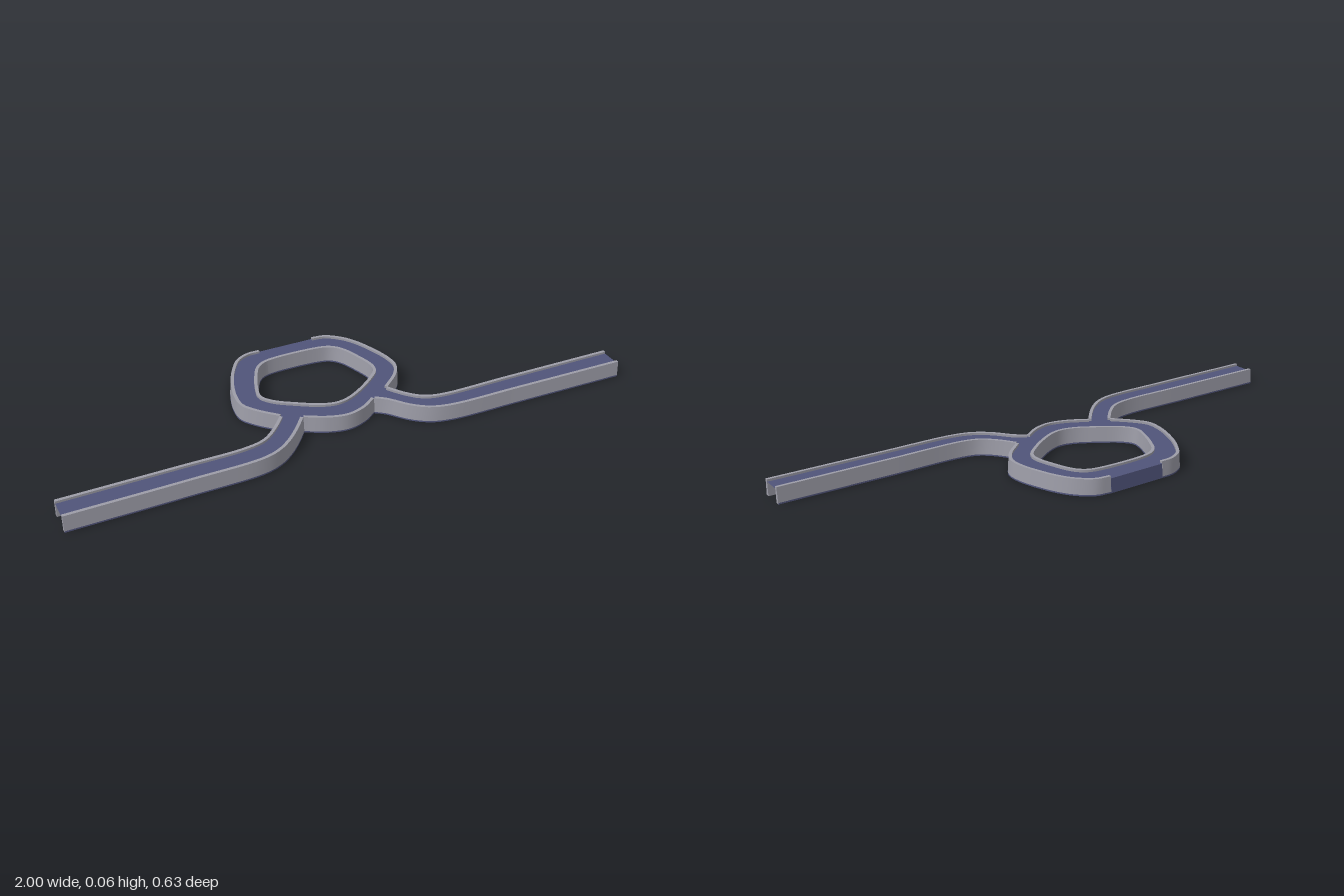
import * as THREE from 'three';

const HEIGHT = 0.058, DECK_Y = 0.05, THICK = 0.011, FLARE = 0.004, STRIP = 0.005;

// Plan curves as [x, z], running so that the deck is always on the same hand.
const PLAN = {
  ringRight: [[0.1, -0.312], [0.15, -0.304], [0.2, -0.267], [0.235, -0.218], [0.268, -0.14], [0.288, -0.067], [0.288, -0.012], [0.26, 0.04], [0.192, 0.103]],
  armLeftBack: [[0.192, 0.103], [0.23, 0.158], [0.275, 0.2], [0.33, 0.217], [0.6, 0.221], [1, 0.226]],
  armLeftFront: [[1, 0.312], [0.6, 0.304], [0.33, 0.297], [0.26, 0.278], [0.205, 0.238], [0.15, 0.172], [0.117, 0.147]],
  ringFront: [[0.117, 0.147], [0.06, 0.184], [-0.005, 0.2], [-0.075, 0.184], [-0.145, 0.147]],
  armRightFront: [[-0.145, 0.147], [-0.178, 0.188], [-0.23, 0.243], [-0.29, 0.286], [-0.355, 0.306], [-0.6, 0.311], [-1, 0.312]],
  armRightBack: [[-1, 0.222], [-0.6, 0.222], [-0.385, 0.221], [-0.315, 0.205], [-0.262, 0.163], [-0.213, 0.107]],
  ringRightSide: [[-0.213, 0.107], [-0.272, 0.045], [-0.303, -0.005], [-0.303, -0.067], [-0.278, -0.158], [-0.245, -0.228], [-0.203, -0.286], [-0.155, -0.31], [-0.11, -0.312]],
  ringBack: [[-0.11, -0.312], [0, -0.312], [0.1, -0.312]],
};
const HOLE = [[-0.11, -0.228], [-0.15, -0.205], [-0.178, -0.158], [-0.208, -0.083], [-0.218, -0.03], [-0.192, 0.01], [-0.128, 0.056], [-0.055, 0.098], [-0.005, 0.11], [0.035, 0.103], [0.087, 0.077], [0.16, 0.024], [0.197, -0.014], [0.203, -0.05], [0.187, -0.115], [0.16, -0.185], [0.133, -0.215], [0.096, -0.228]];

const curveOf = (pts, closed = false) =>
  new THREE.CatmullRomCurve3(pts.map(([x, z]) => new THREE.Vector3(x, 0, z)), closed, 'centripetal');

// Upright wall swept along a curve; each face of its section is its own smooth strip.
function wallGeometry(curve, height, steps, capped) {
  const pos = [], idx = [], rows = [];
  const geo = new THREE.BufferGeometry();
  for (let i = 0; i <= steps; i++) {
    const p = curve.getPointAt(i / steps), t = curve.getTangentAt(i / steps);
    const at = (out, y) => [p.x + t.z * out, y, p.z - t.x * out];
    rows.push([at(FLARE, 0), at(FLARE * 0.9, STRIP), at(0, height), at(-THICK, height), at(-THICK, 0)]);
  }
  for (let k = 0; k < 5; k++) {
    const base = pos.length / 3, start = idx.length;
    for (const r of rows) pos.push(...r[k], ...r[(k + 1) % 5]);
    for (let i = 0; i < steps; i++) {
      const a = base + i * 2;
      idx.push(a, a + 1, a + 2, a + 1, a + 3, a + 2);
    }
    geo.addGroup(start, idx.length - start, k === 0 || k === 4 ? 1 : 0);
  }
  // End caps
  if (capped) {
    const start = idx.length;
    [rows[steps], [...rows[0]].reverse()].forEach((r) => {
      const b = pos.length / 3;
      r.forEach((v) => pos.push(...v));
      for (let k = 1; k < 4; k++) idx.push(b, b + k, b + k + 1);
    });
    geo.addGroup(start, idx.length - start, 0);
  }
  geo.setAttribute('position', new THREE.Float32BufferAttribute(pos, 3));
  geo.setIndex(idx);
  geo.computeVertexNormals();
  return geo;
}

export function createModel() {
  const model = new THREE.Group();
  model.name = 'roundaboutRoad';
  const deckBlue = new THREE.MeshStandardMaterial({ color: 0x50547a, side: THREE.DoubleSide });
  deckBlue.name = 'deckBlue';
  const wallGrey = new THREE.MeshStandardMaterial({ color: 0x9d9da8 });
  wallGrey.name = 'wallGrey';

  const add = (geo, mat, name) => {
    const mesh = new THREE.Mesh(geo, mat);
    mesh.name = name;
    model.add(mesh);
  };

  // Side walls, with the low blue panel across the back of the ring
  const outline = [];
  for (const [name, pts] of Object.entries(PLAN)) {
    const curve = curveOf(pts);
    const back = name === 'ringBack';
    add(wallGeometry(curve, back ? DECK_Y : HEIGHT, 40, true), back ? [deckBlue, deckBlue] : [wallGrey, deckBlue], name + 'Wall');
    outline.push(...curve.getSpacedPoints(40).slice(0, name.startsWith('arm') ? 41 : 40));
  }

  // Wall around the central opening
  const inner = curveOf(HOLE, true);
  add(wallGeometry(inner, HEIGHT, 100, false), [wallGrey, deckBlue], 'innerRingWall');

  // Road deck, open underneath
  const flat = (pts) => pts.map((p) => new THREE.Vector2(p.x, -p.z));
  const clean = outline.filter((p, i) => i === 0 || p.distanceTo(outline[i - 1]) > 1e-5);
  const shape = new THREE.Shape(flat(clean));
  shape.holes.push(new THREE.Path(flat(inner.getSpacedPoints(100).slice(0, 100))));
  const deck = new THREE.ShapeGeometry(shape);
  deck.rotateX(-Math.PI / 2).translate(0, DECK_Y, 0);
  add(deck, deckBlue, 'roadDeck');

  return model;
}
